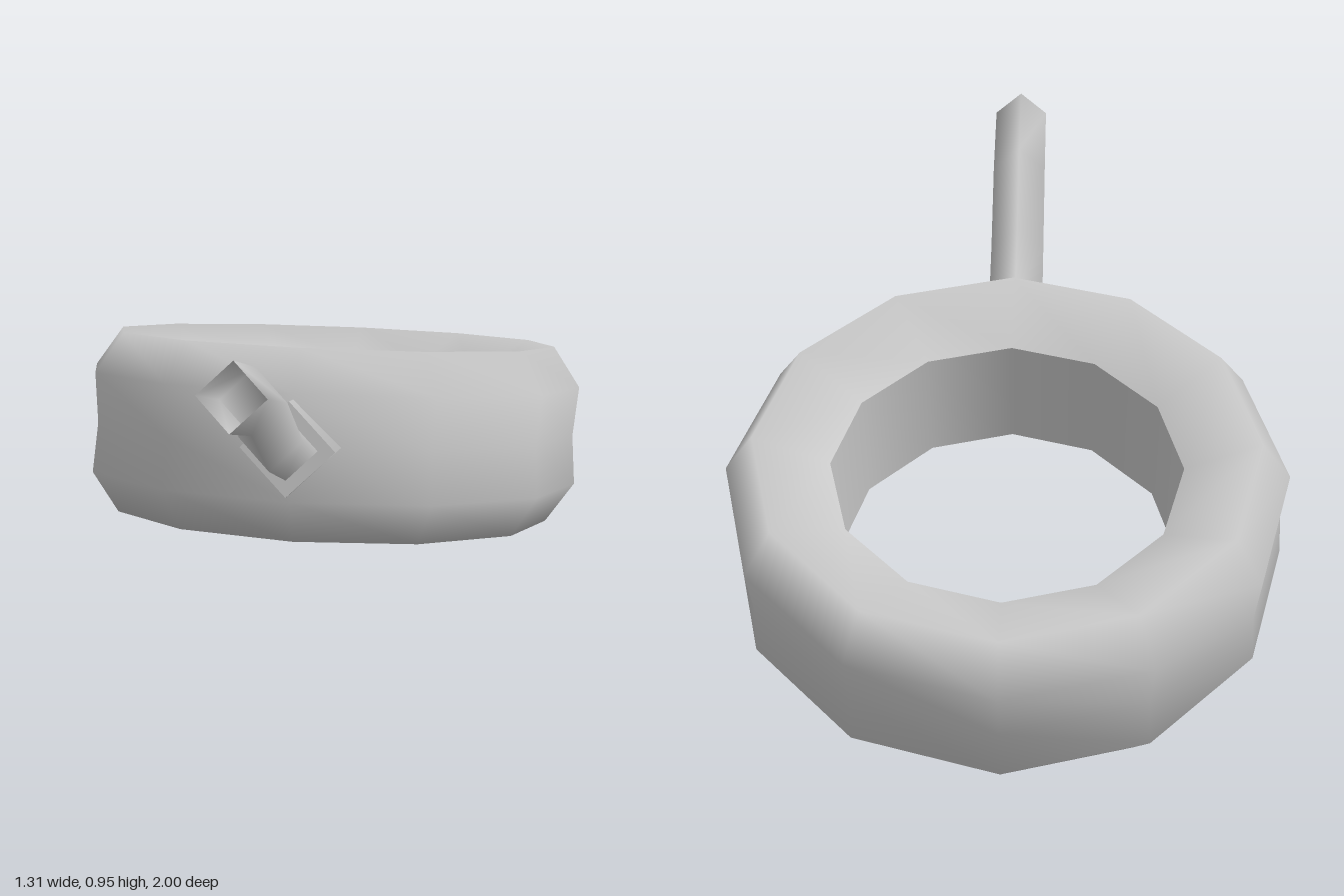
import * as THREE from 'three';

export function createModel() {
  const model = new THREE.Group();
  const grey = new THREE.MeshStandardMaterial({ color: 0xc8c8c8 });
  grey.name = 'plain grey';
  const greyOpen = new THREE.MeshStandardMaterial({ color: 0xc8c8c8, side: THREE.DoubleSide });
  greyOpen.name = 'plain grey open';
  const tilt = 0.246;

  const add = (parent, name, geometry, material) => {
    const mesh = new THREE.Mesh(geometry, material);
    mesh.name = name;
    parent.add(mesh);
    return mesh;
  };
  const lathe = (pts) => new THREE.LatheGeometry(pts.map(([r, y]) => new THREE.Vector2(r, y)), 12);

  // Tilted tyre: rounded outside with dished sides, and a straight inner wall
  const tyre = new THREE.Group();
  tyre.name = 'tyre';
  tyre.position.set(0, 0.376, -0.33);
  tyre.rotation.x = -tilt;
  model.add(tyre);
  add(tyre, 'tyreOuter', lathe([
    [0.41, -0.15], [0.585, -0.232], [0.656, -0.128], [0.645, 0],
    [0.656, 0.128], [0.585, 0.232], [0.41, 0.15],
  ]), grey);
  add(tyre, 'tyreInnerWall', lathe([[0.41, 0.15], [0.41, -0.15]]), grey);

  // Square collar standing on its corner where the rope meets the tyre
  const collar = add(model, 'ropeCollar', new THREE.CylinderGeometry(0.112, 0.112, 0.12, 4), grey);
  collar.position.set(0, 0.538, 0.302);
  collar.rotation.x = Math.PI / 2 - tilt;

  // Four-sided rope: parallel diamond rings along a bent path, open at its end
  const path = [[0.25, 0.515], [0.365, 0.555], [0.565, 0.653], [0.755, 0.805], [0.975, 0.888]];
  const half = 0.071, lean = 0.35;
  const positions = [], indices = [];
  path.forEach(([z, y], ring) => {
    for (let k = 0; k < 4; k++) {
      const a = k * Math.PI / 2;
      const up = Math.sin(a) * half;
      positions.push(Math.cos(a) * half, y + up * Math.cos(lean), z - up * Math.sin(lean));
      if (ring === 0) continue;
      const n = (k + 1) % 4, p = (ring - 1) * 4, q = ring * 4;
      indices.push(p + k, p + n, q + n, p + k, q + n, q + k);
    }
  });
  const rope = new THREE.BufferGeometry();
  rope.setAttribute('position', new THREE.Float32BufferAttribute(positions, 3));
  rope.setIndex(indices);
  rope.computeVertexNormals();
  add(model, 'rope', rope, greyOpen);

  return model;
}
